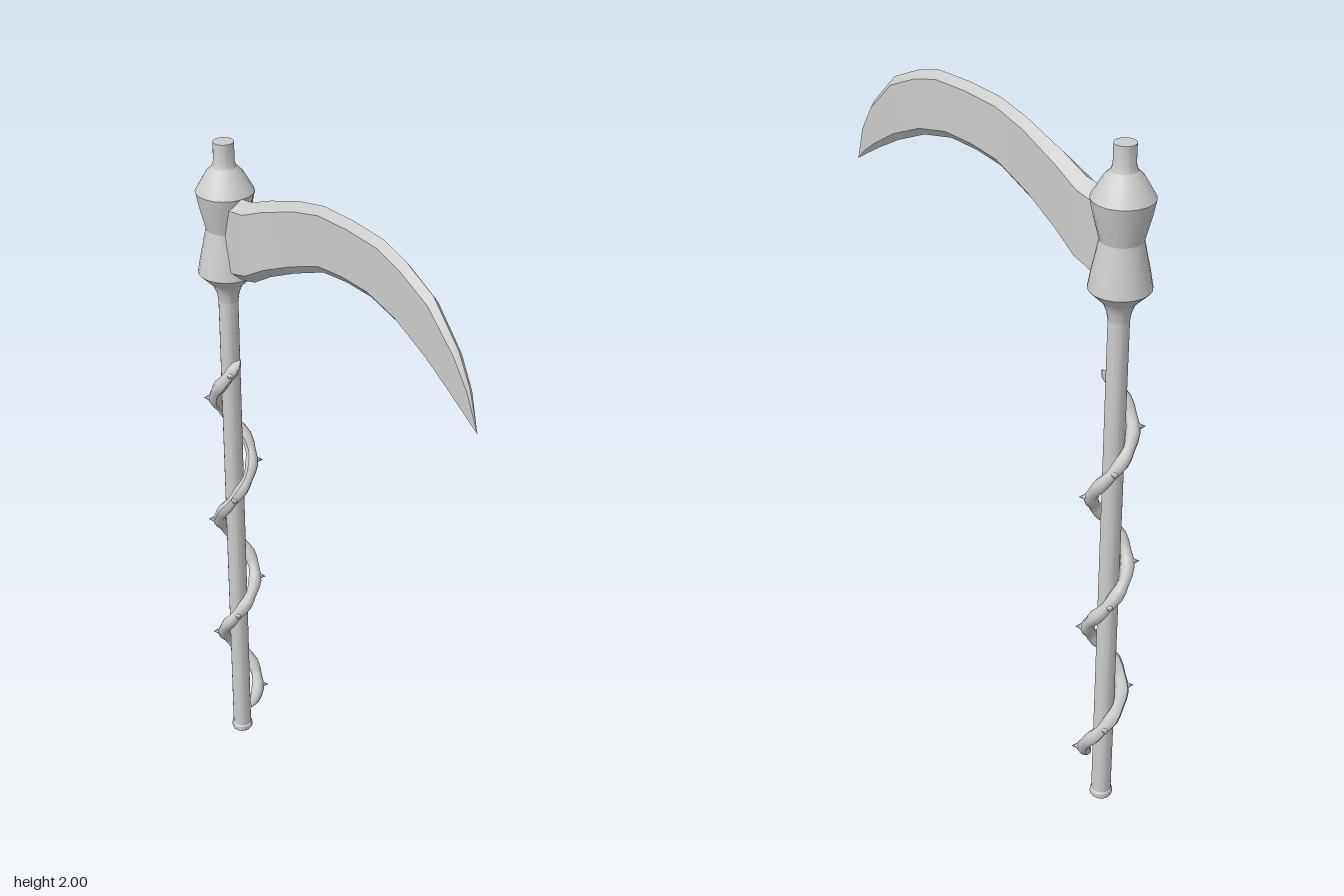
import * as THREE from 'three';
import { toCreasedNormals } from 'three/addons/utils/BufferGeometryUtils.js';

const POLE_X = -0.505;
const material = new THREE.MeshStandardMaterial({ color: 0xcccccc, side: THREE.DoubleSide });

function addPart(group, name, geometry) {
  const mesh = new THREE.Mesh(geometry, material);
  mesh.name = name;
  group.add(mesh);
  return mesh;
}

function turned(profile, sides = 20) {
  const points = profile.map(([r, y]) => new THREE.Vector2(r, y));
  return toCreasedNormals(new THREE.LatheGeometry(points, sides), 0.45);
}

// Curved blade: hexagonal sections with bevelled edges, tapering to the tip.
// Each section: top x, top y, bottom x, bottom y, half thickness
function bladeGeometry() {
  const sections = [
    [-0.50, 1.85, -0.50, 1.62, 0.033],
    [-0.426, 1.862, -0.426, 1.62, 0.033],
    [-0.373, 1.87, -0.368, 1.637, 0.033],
    [-0.283, 1.907, -0.29, 1.684, 0.027],
    [-0.15, 1.952, -0.177, 1.738, 0.019],
    [-0.045, 1.976, -0.05, 1.79, 0.018],
    [0.082, 1.981, 0.05, 1.802, 0.018],
    [0.204, 1.976, 0.156, 1.802, 0.018],
    [0.29, 1.952, 0.272, 1.775, 0.018],
    [0.40, 1.902, 0.39, 1.722, 0.017],
    [0.50, 1.80, 0.484, 1.669, 0.013],
    [0.548, 1.717, 0.54, 1.634, 0.008],
    [0.583, 1.606, 0.583, 1.606, 0],
  ];
  // Around the section: fraction of the height, side of the blade
  const ring = [[0, 0], [0.12, 1], [0.88, 1], [1, 0], [0.88, -1], [0.12, -1]];
  const n = ring.length;
  const positions = [];
  const index = [];
  sections.forEach(([tx, ty, bx, by, half], s) => {
    for (const [t, side] of ring) {
      positions.push(bx + (tx - bx) * t, by + (ty - by) * t, side * half);
    }
    if (s === 0) return;
    for (let i = 0; i < n; i++) {
      const a = (s - 1) * n + i;
      const a2 = (s - 1) * n + (i + 1) % n;
      index.push(a, a + n, a2, a + n, a2 + n, a2);
    }
  });
  const geometry = new THREE.BufferGeometry();
  geometry.setAttribute('position', new THREE.Float32BufferAttribute(positions, 3));
  geometry.setIndex(index);
  return toCreasedNormals(geometry, 0.6);
}

// Vine path: three turns down the pole
const TURNS = 3;
function vinePoint(t, radius = 0.051) {
  const a = t * TURNS * Math.PI * 2;
  return new THREE.Vector3(0.005 + radius * Math.cos(a), 1.365 - 1.255 * t, radius * Math.sin(a));
}

function vineGeometry() {
  const points = [];
  for (let i = 0; i <= TURNS * 8; i++) points.push(vinePoint(i / (TURNS * 8)));
  const curve = new THREE.CatmullRomCurve3(points);
  const segments = 72, sides = 8;
  const geometry = new THREE.TubeGeometry(curve, segments, 0.018, sides);
  const position = geometry.attributes.position;
  const v = new THREE.Vector3();
  // Knobbly thickness, rounded off at both ends
  for (let i = 0; i <= segments; i++) {
    const centre = curve.getPointAt(i / segments);
    const end = Math.min(i, segments - i);
    const scale = end === 0 ? 0.02 : end === 1 ? 0.8 : 1 + 0.12 * Math.sin(i * 1.57);
    for (let j = 0; j <= sides; j++) {
      const k = i * (sides + 1) + j;
      v.fromBufferAttribute(position, k).sub(centre).multiplyScalar(scale).add(centre);
      position.setXYZ(k, v.x, v.y, v.z);
    }
  }
  geometry.computeVertexNormals();
  return geometry;
}

export function createModel() {
  const model = new THREE.Group();
  model.name = 'scythe';

  const handle = new THREE.Group();
  handle.name = 'handle';
  handle.position.x = POLE_X;
  model.add(handle);

  addPart(handle, 'pole', turned([
    [0, 0], [0.028, 0], [0.032, 0.006], [0.032, 0.018], [0.028, 0.024], [0.028, 1.56],
  ]));

  // Waisted socket with a flared collar and a short top spigot
  addPart(handle, 'socket', turned([
    [0.028, 1.53], [0.032, 1.555], [0.042, 1.58], [0.082, 1.62], [0.074, 1.665],
    [0.056, 1.75], [0.074, 1.82], [0.082, 1.86], [0.05, 1.915], [0.034, 1.93],
    [0.029, 1.945], [0.029, 2], [0, 2],
  ]));

  addPart(handle, 'vine', vineGeometry());

  // Small thorns on the outer bends of the vine
  const thorns = new THREE.Group();
  thorns.name = 'thorns';
  handle.add(thorns);
  const up = new THREE.Vector3(0, 1, 0);
  for (let i = 0; i < 12; i++) {
    const t = (i + 0.4) / 12;
    const thorn = addPart(thorns, 'thorn', new THREE.ConeGeometry(0.013, 0.026, 6));
    thorn.position.copy(vinePoint(t, 0.071));
    const outward = thorn.position.clone().setY(0).normalize();
    thorn.quaternion.setFromUnitVectors(up, outward);
  }

  addPart(model, 'blade', bladeGeometry());
  return model;
}
